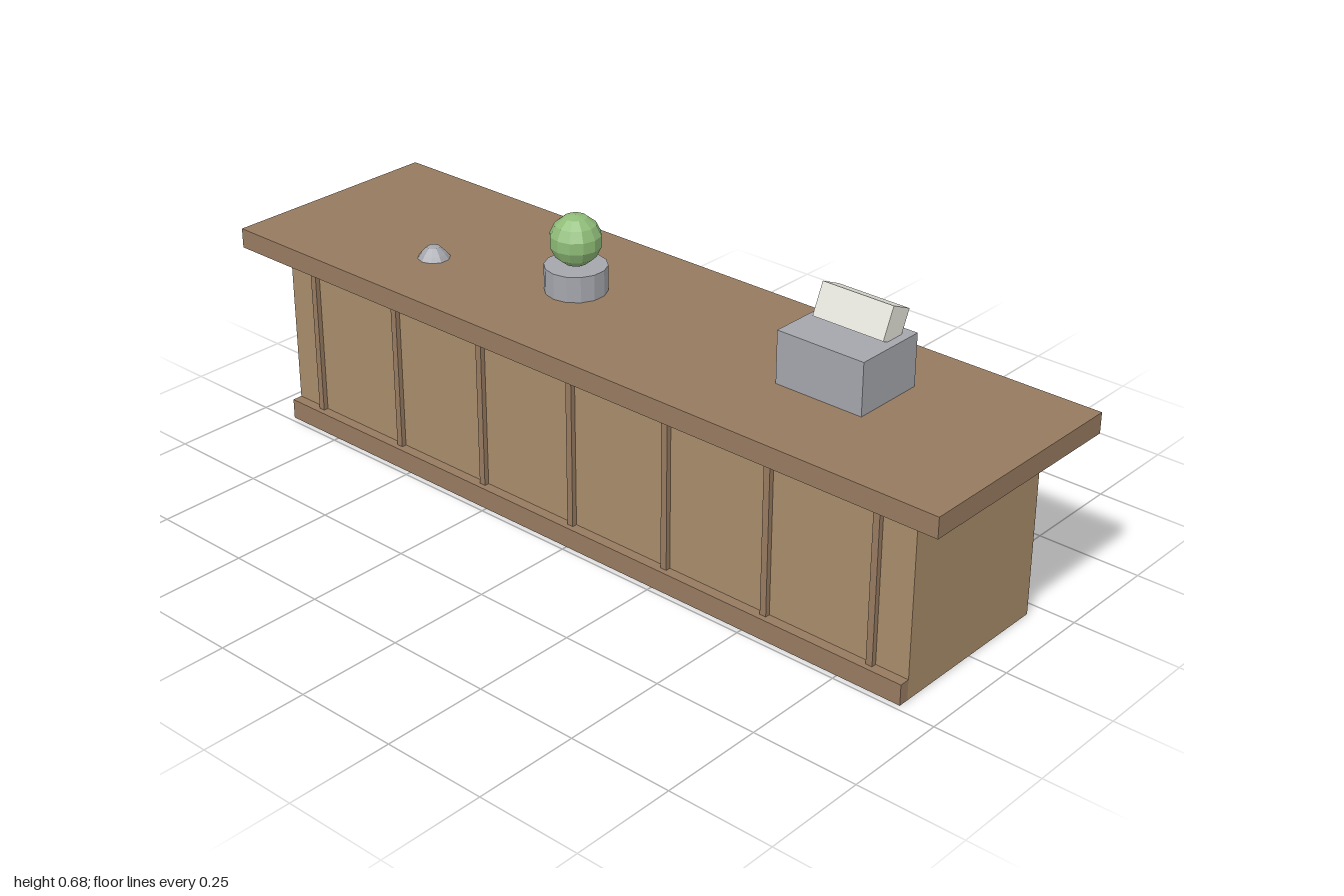
import * as THREE from 'three';

const paint = (color) => new THREE.MeshStandardMaterial({ color, flatShading: true });

export function createModel() {
  const model = new THREE.Group();
  const panelWood = paint(0xa88c6a);
  const trimWood = paint(0x967a60);
  const metal = paint(0xa4a6ac);
  const leaf = paint(0x8fbc78);
  const paper = paint(0xe4e3da);

  const add = (name, geometry, material, x, y, z) => {
    const mesh = new THREE.Mesh(geometry, material);
    mesh.name = name;
    mesh.position.set(x, y, z);
    model.add(mesh);
    return mesh;
  };
  const box = (name, material, w, h, d, x, bottom, z) =>
    add(name, new THREE.BoxGeometry(w, h, d), material, x, bottom + h / 2, z);

  // Counter carcass, overhanging top and front kick board
  box('counterBody', panelWood, 1.816, 0.438, 0.424, 0, 0, 0);
  box('counterTop', trimWood, 2, 0.048, 0.558, 0, 0.438, 0);
  box('kickBoard', trimWood, 1.816, 0.049, 0.025, 0, 0, 0.2245);

  // Vertical battens dividing the front panels
  for (let i = -3; i <= 3; i++) {
    box('frontBatten', trimWood, 0.016, 0.371, 0.012, i * 0.273, 0.049, 0.218);
  }

  const deck = 0.486;

  // Service bell
  const bellProfile = [[0.038, 0], [0.03, 0.011], [0.015, 0.026], [0.006, 0.028], [0, 0.028]]
    .map(([r, y]) => new THREE.Vector2(r, y));
  add('serviceBell', new THREE.LatheGeometry(bellProfile, 10), metal, -0.547, deck, 0.09);

  // Potted plant
  add('plantPot', new THREE.CylinderGeometry(0.072, 0.072, 0.061, 14), metal, -0.185, deck + 0.0305, 0);
  add('plantBall', new THREE.SphereGeometry(0.06, 12, 7), leaf, -0.185, 0.607, 0);

  // Cash register with its tilted display
  box('registerBase', metal, 0.22, 0.122, 0.18, 0.543, deck, -0.03);
  const display = add('registerDisplay', new THREE.BoxGeometry(0.18, 0.075, 0.06), paper, 0.543, 0.6365, -0.0725);
  display.rotation.x = -0.42;

  return model;
}
